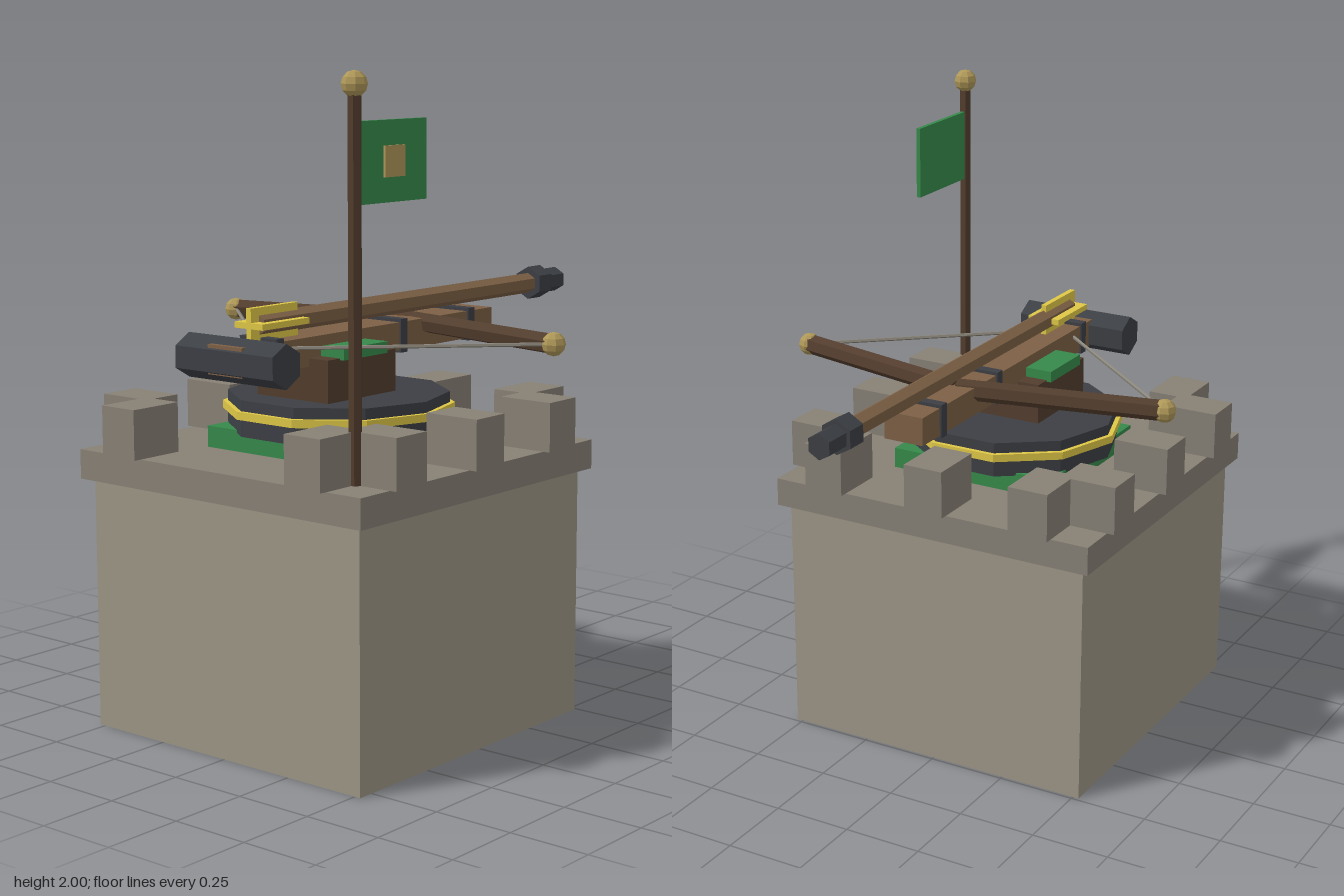
import * as THREE from 'three';

const mat = (color) => new THREE.MeshStandardMaterial({ color, flatShading: true });

export function createModel() {
  const stone = mat(0x9c9485), trim = mat(0x878075), iron = mat(0x3c3f44), gold = mat(0xdec746);
  const green = mat(0x36894a), wood = mat(0x7d6045), darkWood = mat(0x523d2d), brass = mat(0xae9758), rope = mat(0x8a857a);
  const model = new THREE.Group();
  const CX = -0.28; // tower axis

  const add = (name, geometry, material, x, y, z, parent = model) => {
    const mesh = new THREE.Mesh(geometry, material);
    mesh.name = name;
    mesh.position.set(x, y, z);
    parent.add(mesh);
    return mesh;
  };
  // Box given by its min and max on each axis
  const box = (name, material, [x0, x1], [y0, y1], [z0, z1], parent) =>
    add(name, new THREE.BoxGeometry(x1 - x0, y1 - y0, z1 - z0), material,
      (x0 + x1) / 2, (y0 + y1) / 2, (z0 + z1) / 2, parent);
  // Straight rod between two points
  const rod = (name, material, a, b, r, sides, parent) => {
    const from = new THREE.Vector3(...a), to = new THREE.Vector3(...b);
    const dir = to.clone().sub(from), mid = from.clone().add(to).multiplyScalar(0.5);
    const mesh = add(name, new THREE.CylinderGeometry(r, r, dir.length(), sides), material, mid.x, mid.y, mid.z, parent);
    mesh.quaternion.setFromUnitVectors(new THREE.Vector3(0, 1, 0), dir.normalize());
    return mesh;
  };
  const group = (name) => {
    const g = new THREE.Group();
    g.name = name;
    model.add(g);
    return g;
  };

  // Tower
  box('towerBody', stone, [CX - 0.52, CX + 0.52], [0, 0.77], [-0.52, 0.52]);
  box('towerCap', trim, [CX - 0.55, CX + 0.55], [0.77, 0.86], [-0.55, 0.55]);

  // Battlements, with a gap behind the weapon
  const battlements = group('battlements');
  for (const side of [-1, 1]) {
    for (const t of [-0.36, 0, 0.36]) {
      add('merlon', new THREE.BoxGeometry(0.132, 0.15, 0.182), trim, CX + t, 0.935, side * 0.483, battlements);
      if (side === -1 && t === 0) continue;
      add('merlon', new THREE.BoxGeometry(0.182, 0.15, 0.132), trim, CX + side * 0.483, 0.935, t, battlements);
    }
  }

  // Turntable
  const table = group('turntable');
  box('turntableBase', green, [CX - 0.28, CX + 0.28], [0.86, 0.925], [-0.28, 0.28], table);
  add('turntableDisc', new THREE.CylinderGeometry(0.337, 0.337, 0.11, 10), iron, CX, 0.972, 0, table);
  add('turntableRim', new THREE.CylinderGeometry(0.352, 0.352, 0.024, 10), gold, CX, 0.982, 0, table);

  // Pedestal under the stock
  box('pedestal', darkWood, [-0.49, -0.18], [1.02, 1.155], [-0.14, 0.14]);
  box('pedestalPad', green, [-0.435, -0.235], [1.15, 1.185], [-0.155, 0.155]);

  // Stock with iron bands and a hexagonal counterweight
  box('stock', wood, [-0.776, 0.4], [1.13, 1.217], [-0.066, 0.066]);
  for (const x of [-0.62, -0.055, 0.285])
    box('stockBand', iron, [x - 0.016, x + 0.016], [1.123, 1.227], [-0.072, 0.072]);
  const weight = add('counterweight', new THREE.CylinderGeometry(0.066, 0.066, 0.38, 6), iron, -0.725, 1.17, 0);
  weight.rotation.set(Math.PI / 2, Math.PI / 2 * 2, 0);
  weight.geometry.rotateY(0);

  // Bow arms, tips and strings
  const bow = group('bow');
  for (const s of [-1, 1]) {
    const tip = [-0.055, 1.2, s * 0.633];
    rod('bowArm', darkWood, [0.083, 1.2, 0], tip, 0.032, 6, bow);
    add('bowTip', new THREE.SphereGeometry(0.036, 8, 6), brass, ...tip, bow);
    rod('bowString', rope, tip, [-0.62, 1.192, 0], 0.006, 5, bow);
  }

  // Bolt: shaft, stepped head and crossed fletching
  const bolt = group('bolt');
  const hexRod = (name, material, x0, x1, r) => {
    const g = new THREE.CylinderGeometry(r, r, x1 - x0, 6).rotateZ(-Math.PI / 2);
    add(name, g, material, (x0 + x1) / 2, 1.264, 0, bolt);
  };
  hexRod('boltShaft', wood, -0.64, 0.7, 0.033);
  hexRod('boltHead', iron, 0.69, 0.758, 0.054);
  hexRod('boltTip', iron, 0.75, 0.846, 0.04);
  // Point one corner of every hexagon straight up
  bolt.children.forEach((m) => m.geometry.rotateX(Math.PI / 2));
  box('fletchingUpright', gold, [-0.675, -0.473], [1.217, 1.315], [-0.009, 0.009], bolt);
  box('fletchingFlat', gold, [-0.675, -0.473], [1.255, 1.273], [-0.055, 0.055], bolt);

  // Flag
  const flag = group('flag');
  rod('flagPole', darkWood, [-0.706, 0.86, 0.427], [-0.706, 1.955, 0.427], 0.02, 6, flag);
  add('flagFinial', new THREE.SphereGeometry(0.037, 8, 6), brass, -0.706, 1.963, 0.427, flag);
  box('flagCloth', green, [-0.695, -0.402], [1.635, 1.862], [0.42, 0.434], flag);
  box('flagPatch', brass, [-0.592, -0.505], [1.705, 1.792], [0.43, 0.441], flag);

  return model;
}
